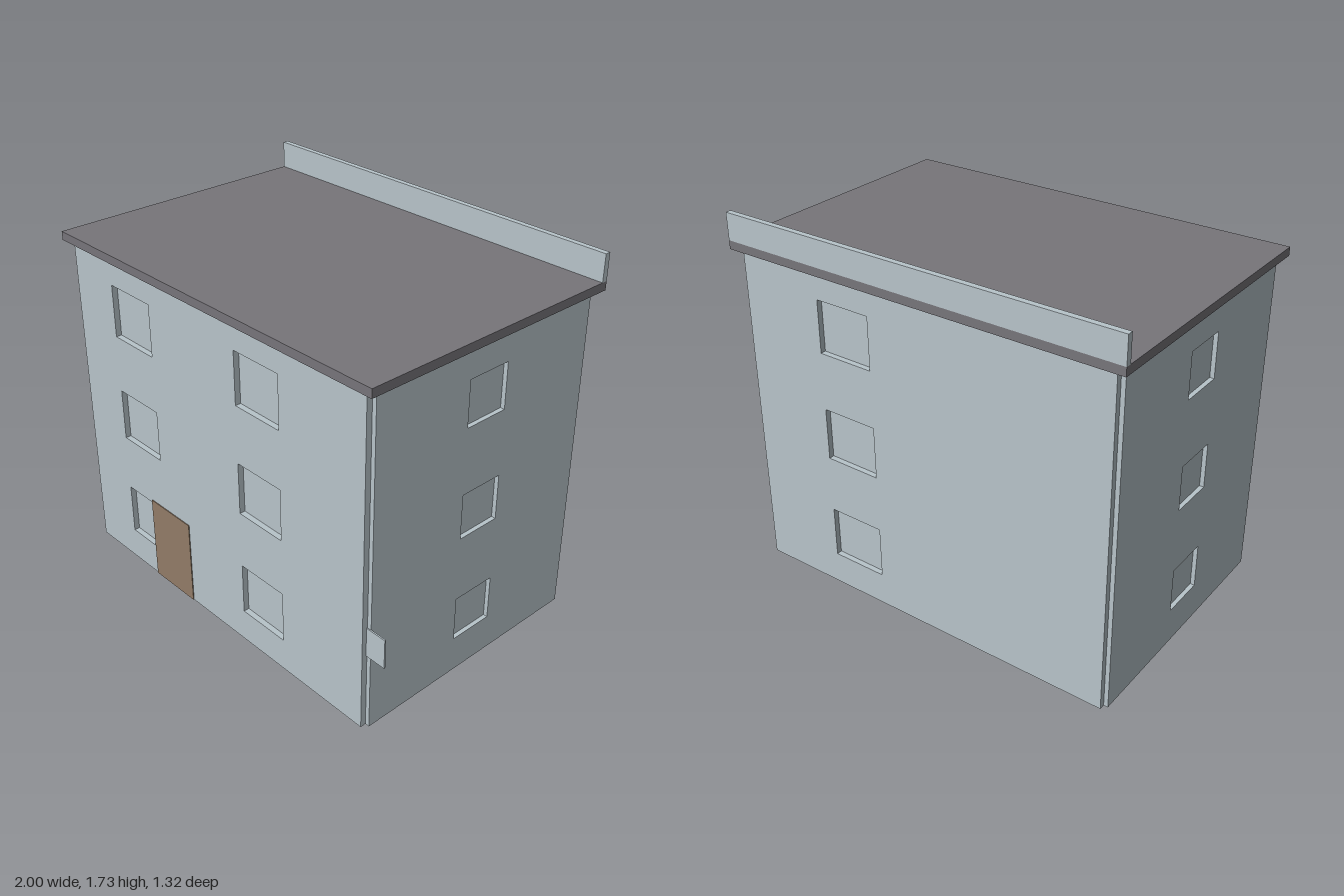
import * as THREE from 'three';

const WALL_TOP = 1.565;
// inner core; facing panels stand proud of it and leave notched corners
const CORE = { x0: -0.95, x1: 0.895, z: 0.606 };
const FLOOR_STEP = 0.52;

function mat(name, color) {
  const m = new THREE.MeshStandardMaterial({ color });
  m.name = name;
  return m;
}

// box from its minimum and maximum corners
function box(name, material, [x0, y0, z0], [x1, y1, z1]) {
  const mesh = new THREE.Mesh(new THREE.BoxGeometry(x1 - x0, y1 - y0, z1 - z0), material);
  mesh.position.set((x0 + x1) / 2, (y0 + y1) / 2, (z0 + z1) / 2);
  mesh.name = name;
  return mesh;
}

function rect(target, x0, y0, x1, y1) {
  target.moveTo(x0, y0);
  target.lineTo(x1, y0);
  target.lineTo(x1, y1);
  target.lineTo(x0, y1);
  target.closePath();
  return target;
}

// facing panel with one recessed window per column on each of three floors
function panel(name, material, x0, x1, depth, columns, sill, height) {
  const shape = rect(new THREE.Shape(), x0, 0, x1, WALL_TOP);
  for (const [a, b] of columns) {
    for (let floor = 0; floor < 3; floor++) {
      const y = sill + floor * FLOOR_STEP;
      shape.holes.push(rect(new THREE.Path(), a, y, b, y + height));
    }
  }
  const mesh = new THREE.Mesh(new THREE.ExtrudeGeometry(shape, { depth, bevelEnabled: false }), material);
  mesh.name = name;
  return mesh;
}

export function createModel() {
  const wall = mat('paleBlueGreyWall', 0xb8c4ca);
  const roof = mat('greyRoof', 0x77757a);
  const wood = mat('brownDoor', 0x927c67);
  const model = new THREE.Group();
  model.name = 'building';

  // core, whose faces are the window backs
  model.add(box('buildingCore', wall, [CORE.x0, 0, -CORE.z], [CORE.x1, WALL_TOP, CORE.z]));

  // front wall with two window columns
  const front = panel('frontWall', wall, CORE.x0, CORE.x1, 0.027, [[-0.677, -0.41], [0.155, 0.418]], 0.157, 0.247);
  front.position.z = CORE.z;
  model.add(front);

  // back wall with one window column
  const back = panel('backWall', wall, -CORE.x1, -CORE.x0, 0.026, [[-0.483, -0.212]], 0.157, 0.247);
  back.rotation.y = Math.PI;
  back.position.z = -CORE.z;
  model.add(back);

  // side walls
  for (const side of [1, -1]) {
    const name = side > 0 ? 'leftWall' : 'rightWall';
    const mesh = panel(name, wall, -CORE.z, CORE.z, 0.02, [[-0.107, 0.108]], 0.173, 0.212);
    mesh.rotation.y = side * Math.PI / 2;
    mesh.position.x = side > 0 ? CORE.x1 : CORE.x0;
    model.add(mesh);
  }

  // door, standing just proud of the front wall
  model.add(box('door', wood, [-0.5, 0, 0.606], [-0.22, 0.42, 0.637]));

  // small plate sticking out at the front corner
  model.add(box('cornerPlate', wall, [0.895, 0.365, 0.604], [0.995, 0.505, 0.611]));

  // roof slab and rear parapet
  model.add(box('roofSlab', roof, [-1, WALL_TOP, -0.66], [0.945, 1.605, 0.66]));
  model.add(box('rearParapet', wall, [-1, 1.605, -0.66], [0.945, 1.73, -0.633]));

  return model;
}
